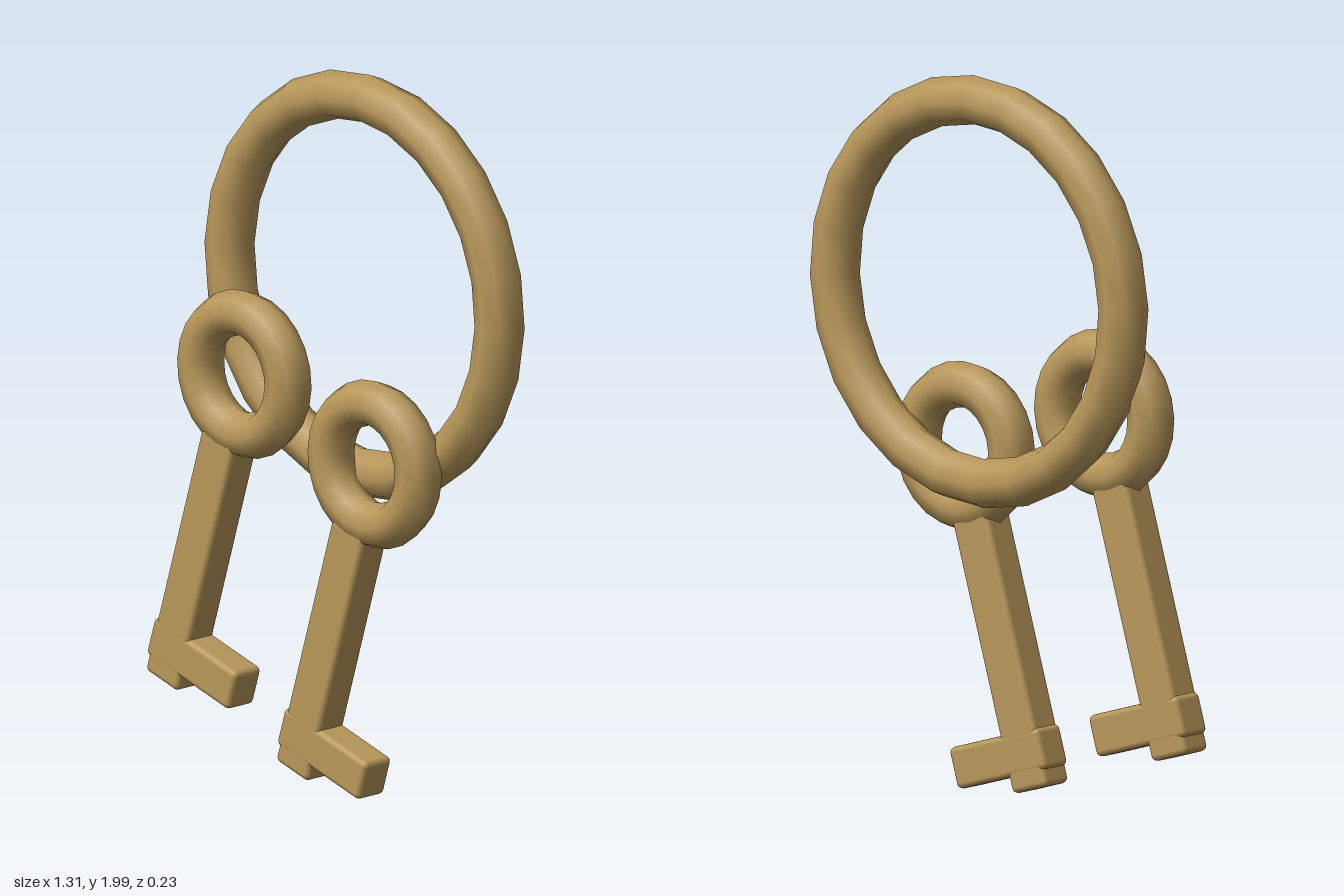
import * as THREE from 'three';
import { RoundedBoxGeometry } from 'three/addons/geometries/RoundedBoxGeometry.js';

const TILT = -THREE.MathUtils.degToRad(17);
const brass = new THREE.MeshStandardMaterial({ color: 0xb8975a });

function addMesh(parent, name, geometry, x, y, z) {
  const mesh = new THREE.Mesh(geometry, brass);
  mesh.name = name;
  mesh.position.set(x, y, z);
  parent.add(mesh);
  return mesh;
}

// Rounded bar given by its left, right, bottom and top edges
function addBar(parent, name, x0, x1, y0, y1, depth) {
  const geometry = new RoundedBoxGeometry(x1 - x0, y1 - y0, depth, 2, 0.016);
  return addMesh(parent, name, geometry, (x0 + x1) / 2, (y0 + y1) / 2, 0);
}

// Key with its origin at the centre of the bow
function createKey(name) {
  const key = new THREE.Group();
  key.name = name;
  addMesh(key, 'bow', new THREE.TorusGeometry(0.171, 0.064, 8, 24), 0, 0, 0);
  addBar(key, 'shaft', -0.066, 0.066, -0.952, -0.15, 0.1);
  addBar(key, 'bit', -0.076, 0.262, -0.906, -0.79, 0.102);
  return key;
}

export function createModel() {
  const model = new THREE.Group();
  model.name = 'keyRing';

  // Large ring behind the keys
  const ring = addMesh(model, 'ring', new THREE.TorusGeometry(0.529, 0.068, 8, 24), 0.057, 1.404, -0.046);
  ring.rotation.z = TILT;

  // Two identical keys hanging at the same angle
  [['rightKey', -0.315, 1.1], ['leftKey', 0.195, 0.945]].forEach(([name, x, y]) => {
    const key = createKey(name);
    key.position.set(x, y, 0.049);
    key.rotation.z = TILT;
    model.add(key);
  });

  return model;
}
